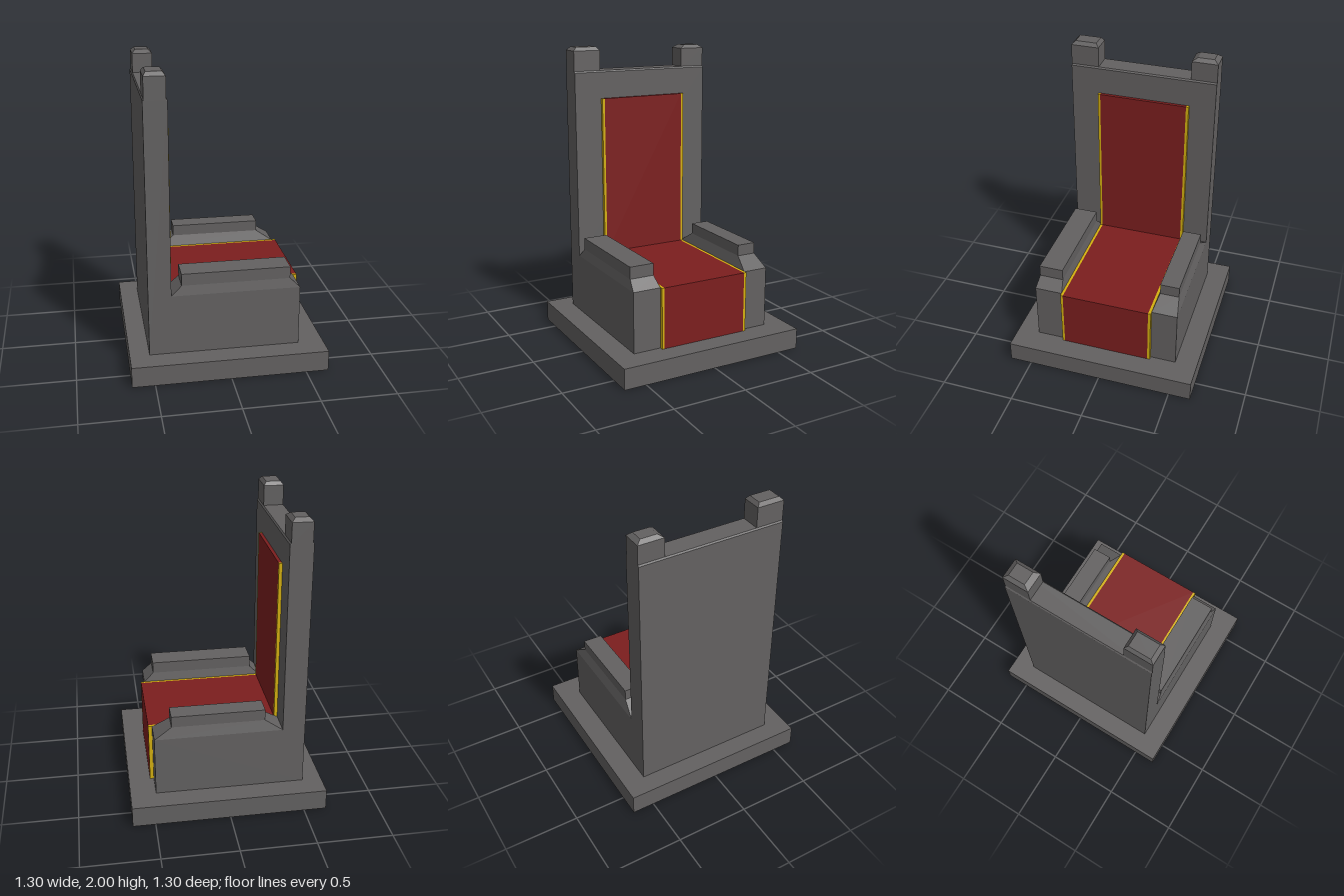
import * as THREE from 'three';

const paint = (color) => new THREE.MeshStandardMaterial({ color, flatShading: true });

// Solid through stacked rectangles, each [y, x0, x1, z0, z1], listed bottom to top
function stack(rings) {
  const pos = [], index = [];
  rings.forEach(([y, x0, x1, z0, z1], r) => {
    pos.push(x0, y, z1, x1, y, z1, x1, y, z0, x0, y, z0);
    if (r === 0) return;
    for (let i = 0; i < 4; i++) {
      const a = (r - 1) * 4 + i, b = (r - 1) * 4 + (i + 1) % 4;
      index.push(a, b, b + 4, a, b + 4, a + 4);
    }
  });
  const t = (rings.length - 1) * 4;
  index.push(0, 2, 1, 0, 3, 2, t, t + 1, t + 2, t, t + 2, t + 3);
  const g = new THREE.BufferGeometry();
  g.setAttribute('position', new THREE.Float32BufferAttribute(pos, 3));
  g.setIndex(index);
  const flat = g.toNonIndexed();
  flat.computeVertexNormals();
  return flat;
}

// Side profile in x and y, extruded from z0 to z1
function slab(points, z0, z1) {
  const shape = new THREE.Shape(points.map(([x, y]) => new THREE.Vector2(x, y)));
  return new THREE.ExtrudeGeometry(shape, { depth: z1 - z0, bevelEnabled: false }).translate(0, 0, z0);
}

export function createModel() {
  const model = new THREE.Group();
  model.name = 'throne';
  const stone = paint(0x636161), red = paint(0x7c1e1e), gold = paint(0xd4b010);
  const add = (name, geometry, material) => {
    const mesh = new THREE.Mesh(geometry, material);
    mesh.name = name;
    model.add(mesh);
  };

  // Plinth
  add('plinth', new THREE.BoxGeometry(1.3, 0.14, 1.3).translate(0, 0.07, 0), stone);

  // Seat block and tall back in one L-shaped profile
  add('seatAndBack', slab([
    [-0.52, 0.14], [0.48, 0.14], [0.48, 0.55], [-0.37, 0.55], [-0.37, 1.83], [-0.52, 1.83],
  ], -0.5, 0.5), stone);
  add('backCap', stack([
    [1.83, -0.52, -0.37, -0.5, 0.5], [1.84, -0.513, -0.378, -0.498, 0.498],
  ]), stone);

  // Posts on the back, with chamfered tops
  add('leftPost', stack([
    [1.83, -0.513, -0.378, -0.5, -0.325], [1.967, -0.513, -0.378, -0.5, -0.325],
    [1.99, -0.49, -0.402, -0.47, -0.36],
  ]), stone);
  add('rightPost', stack([
    [1.83, -0.513, -0.378, 0.31, 0.5], [1.976, -0.513, -0.378, 0.31, 0.5],
    [2.0, -0.495, -0.397, 0.33, 0.475],
  ]), stone);

  // Armrests: sloped shoulder, then an upright pad
  add('leftArm', stack([
    [0.55, -0.37, 0.48, -0.5, -0.325], [0.625, -0.253, 0.365, -0.48, -0.35],
    [0.7, -0.253, 0.365, -0.48, -0.35],
  ]), stone);
  add('rightArm', stack([
    [0.55, -0.37, 0.48, 0.31, 0.5], [0.615, -0.302, 0.413, 0.323, 0.488],
    [0.695, -0.302, 0.413, 0.323, 0.488],
  ]), stone);

  // Cloth running down the back, over the seat and down its face, with gold edging
  const drape = [
    [0.48, 0.14], [0.505, 0.14], [0.505, 0.553], [-0.348, 0.553],
    [-0.348, 1.65], [-0.37, 1.65], [-0.37, 0.53], [0.48, 0.53],
  ];
  add('cloth', slab(drape, -0.307, 0.293), red);
  add('leftTrim', slab(drape, -0.325, -0.307), gold);
  add('rightTrim', slab(drape, 0.293, 0.31), gold);

  return model;
}
